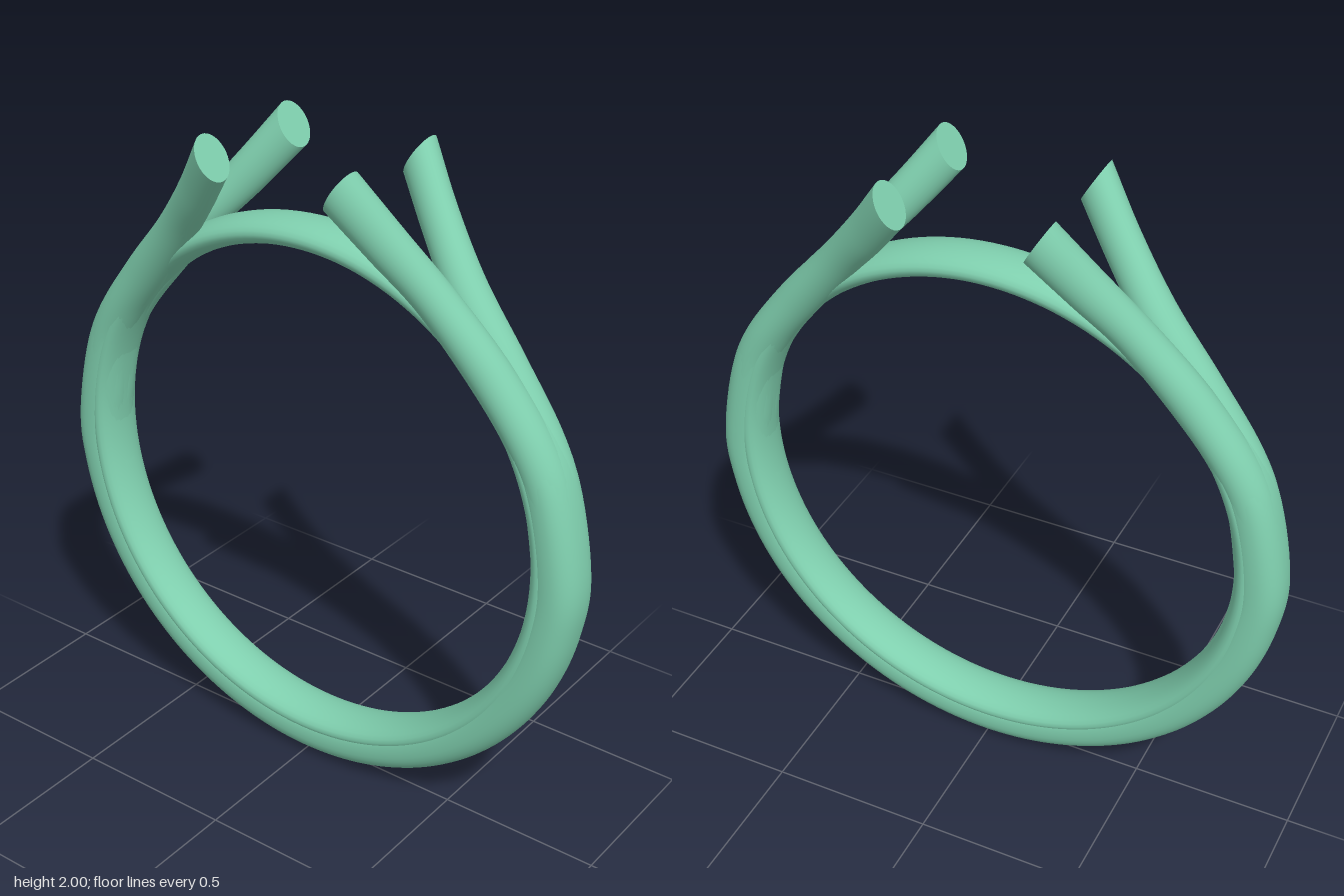
import * as THREE from 'three';

const CENTER_Y = 0.915;
const INNER_R = 0.76;

// Stations up one shoulder: inner x,y, outer x,y, z offset, half depth, radial scale
const SHOULDER = [
  [0.76, 0.92, 0.91, 0.92, 0.012, 0.072, 0.96],
  [0.72, 1.16, 0.862, 1.16, 0.015, 0.072, 0.98],
  [0.655, 1.30, 0.79, 1.32, 0.022, 0.069, 1],
  [0.54, 1.45, 0.65, 1.51, 0.036, 0.064, 1],
  [0.40, 1.62, 0.50, 1.68, 0.066, 0.061, 1],
  [0.29, 1.745, 0.365, 1.845, 0.12, 0.059, 1],
  [0.18, 1.88, 0.25, 2.0, 0.18, 0.06, 1],
];

const mirrored = (stations) =>
  stations.map(([ix, iy, ox, oy, ...rest]) => [-ix, iy, -ox, oy, ...rest]).reverse();

// Loft a superellipse section through counter-clockwise stations, with flat end caps
function loft(stations, rows, sides, power) {
  const curve = (a, b) => new THREE.CatmullRomCurve3(
    stations.map((s) => new THREE.Vector3(s[a], s[b], s[6])), false, 'catmullrom', 0.5);
  const inner = curve(0, 1), outer = curve(2, 3), depth = curve(4, 5);
  const pos = [], index = [];
  const soften = (v) => Math.sign(v) * Math.abs(v) ** (2 / power);
  for (let i = 0; i <= rows; i++) {
    const t = i / rows;
    const p = inner.getPoint(t), q = outer.getPoint(t), d = depth.getPoint(t);
    const mid = p.clone().add(q).multiplyScalar(0.5);
    for (let j = 0; j < sides; j++) {
      const a = (j / sides) * Math.PI * 2;
      const c = soften(Math.cos(a)) * d.z, s = soften(Math.sin(a));
      pos.push(mid.x + (q.x - mid.x) * c, mid.y + (q.y - mid.y) * c, d.x + d.y * s);
    }
  }
  for (let i = 0; i < rows; i++) {
    for (let j = 0; j < sides; j++) {
      const k = (j + 1) % sides;
      const a = i * sides + j, b = i * sides + k;
      index.push(a, a + sides, b, b, a + sides, b + sides);
    }
  }
  // Caps use their own vertices so the rims stay sharp
  for (const row of [0, rows]) {
    const base = pos.length / 3;
    const from = row * sides * 3;
    pos.push(...pos.slice(from, from + sides * 3));
    for (let j = 1; j < sides - 1; j++) {
      if (row === 0) index.push(base, base + j, base + j + 1);
      else index.push(base, base + j + 1, base + j);
    }
  }
  const geo = new THREE.BufferGeometry();
  geo.setAttribute('position', new THREE.Float32BufferAttribute(pos, 3));
  geo.setIndex(index);
  geo.computeVertexNormals();
  return geo;
}

export function createModel() {
  const group = new THREE.Group();
  const material = new THREE.MeshStandardMaterial({ color: 0x7fcfae });
  const add = (name, geometry) => {
    const mesh = new THREE.Mesh(geometry, material);
    mesh.name = name;
    group.add(mesh);
    return mesh;
  };

  // Thin inner band, a full circle that bridges the gap at the top
  const band = add('innerBand', new THREE.TorusGeometry(INNER_R + 0.0425, 0.0425, 24, 160));
  band.position.y = CENTER_Y;
  band.scale.z = 2;

  // Thick shank: lower half circle continuing up into both shoulders
  const upper = SHOULDER.slice(1, 4).map(([ix, iy, ox, oy], i) =>
    [ix, iy, ox, oy, 0, [0.087, 0.087, 0.085][i], [1, 0.98, 0.84][i]]);
  const lower = [];
  for (let i = 0; i <= 16; i++) {
    const a = Math.PI * (1 + i / 16);
    const outerR = 0.91 + 0.005 * Math.sin((Math.PI * i) / 16);
    const c = Math.cos(a), s = Math.sin(a);
    lower.push([INNER_R * c, CENTER_Y + INNER_R * s, outerR * c, CENTER_Y + outerR * s, 0, 0.086, 1]);
  }
  add('shank', loft([...mirrored(upper), ...lower, ...upper], 132, 36, 2.3));

  // Four prongs: each shoulder splits into a front and a back strand
  for (const [face, sign] of [['front', 1], ['back', -1]]) {
    const strand = SHOULDER.map((s) => s.map((v, i) => (i === 4 ? v * sign : v)));
    add(`${face}LeftProng`, loft(strand, 48, 32, 2));
    add(`${face}RightProng`, loft(mirrored(strand), 48, 32, 2));
  }
  return group;
}
